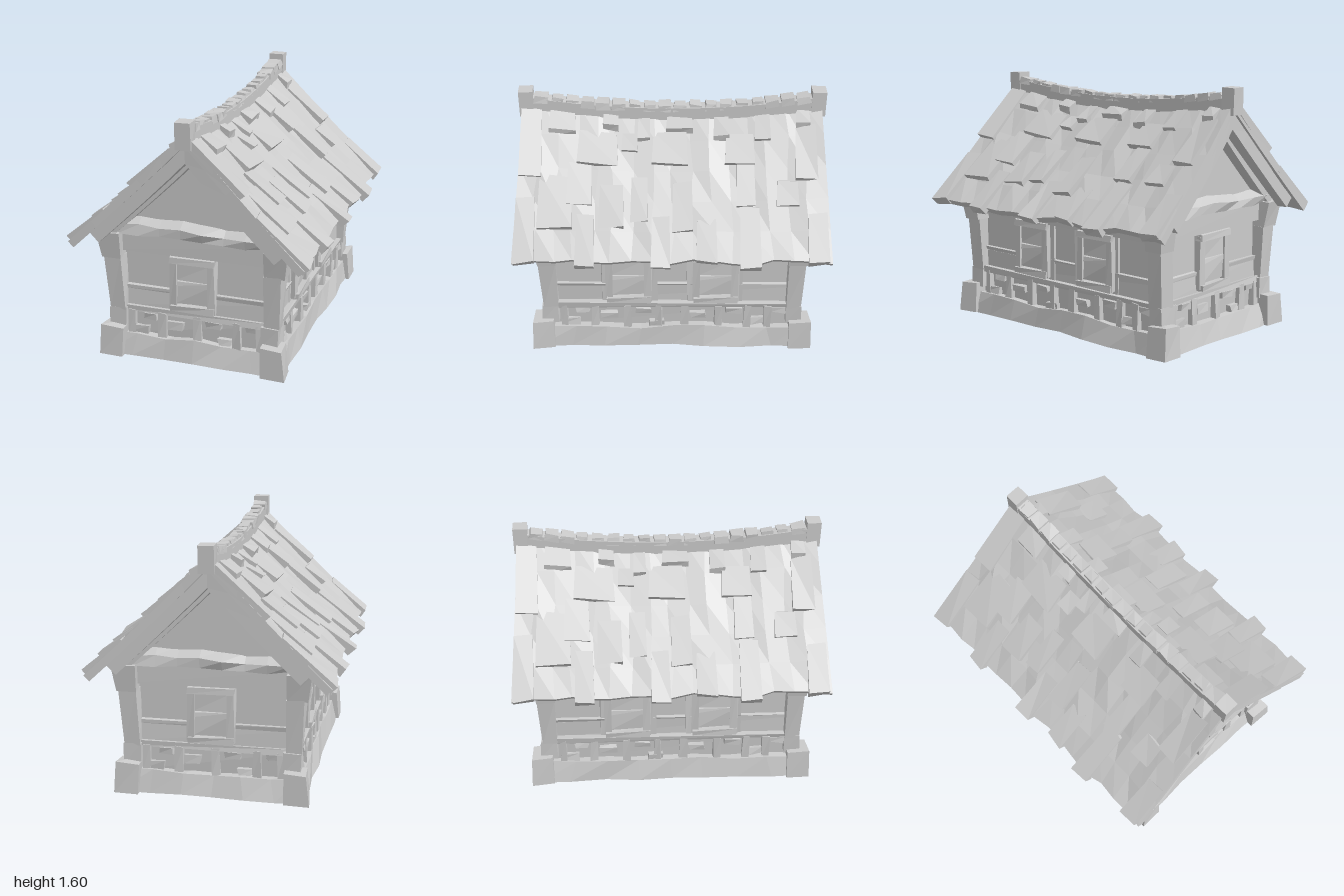
import * as THREE from 'three';

const grey = new THREE.MeshStandardMaterial({ color: 0xcccccc, flatShading: true, side: THREE.DoubleSide });

// Position-based noise in -1..1, so shared corners move together
const noise = (x, y, z) => {
  const s = Math.sin(x * 127.1 + y * 311.7 + z * 74.7 + 3.3) * 43758.5453;
  return (s - Math.floor(s)) * 2 - 1;
};

// Unit box (-0.5..0.5) whose vertices are moved by fn(a, b, c) -> [x, y, z]
function warped(parent, name, segs, fn) {
  const g = new THREE.BoxGeometry(1, 1, 1, ...segs);
  const p = g.attributes.position;
  for (let i = 0; i < p.count; i++) p.setXYZ(i, ...fn(p.getX(i), p.getY(i), p.getZ(i)));
  g.computeVertexNormals();
  const m = new THREE.Mesh(g, grey);
  m.name = name;
  parent.add(m);
  return m;
}

// Hand-hewn block: top scale, top shift and corner jitter
function block(parent, name, [cx, cy, cz], [w, h, d], { top = 1, dx = 0, dz = 0, j = 0.006, segs = [1, 1, 1] } = {}) {
  return warped(parent, name, segs, (a, b, c) => {
    const k = b > 0 ? top : 1, t = b > 0 ? 1 : 0;
    const x = cx + a * w * k + dx * t, y = cy + b * h, z = cz + c * d * k + dz * t;
    return [x + j * noise(x, y, z), Math.max(0, y + j * noise(y, z, x)), z + j * noise(z, x, y)];
  });
}

// Roof surface: u from ridge to eave, z along the ridge, d = depth below the surface
const ridgeY = z => 1.44 + 0.09 * z * z;
function roofPoint(u, z, d) {
  const k = Math.min(1, Math.max(0, u * 3));
  const y = ridgeY(z) - (ridgeY(z) - 0.785) * (1.06 * u - 0.06 * u * u);
  return [0.745 * u - 0.7 * d * k, y - d * (1.41 - 0.7 * k), z];
}

// Tile rising out of the roof towards its lower end
function shingle(parent, z0, z1, u0, u1, lift = 0.035) {
  warped(parent, 'shingle', [1, 1, 1], (a, b, c) => {
    const u = a > 0 ? u1 : u0;
    const z = (z0 + z1) / 2 + c * (z1 - z0) * (a > 0 ? 1 : 0.9);
    const h = a > 0 ? lift : 0.006;
    return roofPoint(u + 0.012 * noise(z, u, b), z, b > 0 ? -h - 0.006 * noise(u, z, 1) : 0.03);
  });
}

function windowUnit(parent, x) {
  const g = new THREE.Group();
  g.name = 'window';
  g.position.x = x;
  parent.add(g);
  for (const s of [-1, 1]) block(g, 'windowJamb', [s * 0.125, 0.51, 0.02], [0.045, 0.34, 0.05]);
  block(g, 'windowLintel', [0, 0.675, 0.03], [0.29, 0.04, 0.06]);
  block(g, 'windowSill', [0, 0.355, 0.03], [0.29, 0.04, 0.065]);
  block(g, 'windowCrossbar', [0, 0.515, 0.015], [0.23, 0.03, 0.04]);
  for (const y of [0.445, 0.59]) block(g, 'shutterPanel', [0, y, 0.015], [0.215, 0.12, 0.035]);
}

// Wall dressing in local space: x along the wall, z outward
function wall(half, len, depth, rot, { windows, studs, posts, stones, railTop }) {
  const pivot = new THREE.Group(), g = new THREE.Group();
  pivot.name = 'wall';
  pivot.rotation.y = rot;
  g.position.z = depth;
  pivot.add(g);
  half.add(pivot);
  windows.forEach(x => windowUnit(g, x));
  studs.forEach(x => block(g, 'stud', [x, 0.5, 0.005], [0.05, 0.4, 0.03]));
  block(g, 'topRail', [0, (0.69 + railTop) / 2, 0.012], [len, railTop - 0.69, 0.05]);
  block(g, 'sillRail', [0, 0.305, 0.015], [len, 0.035, 0.06]);
  block(g, 'wallBoard', [0, 0.37, 0], [len, 0.12, 0.02]);
  block(g, 'trim', [0, 0.445, 0.003], [len, 0.022, 0.03]);
  block(g, 'lowerWall', [0, 0.21, 0], [len, 0.18, 0.03]);
  posts.forEach(x => block(g, 'lowerPost', [x, 0.215, 0.025], [0.05, 0.17, 0.05], { top: 0.9 }));
  stones.forEach(([x, y, w]) => block(g, 'wallStone', [x, y, 0.02], [w, 0.045, 0.05], { j: 0.008 }));
}

// One half of the house; the other is the same turned by 180 degrees
function buildHalf() {
  const half = new THREE.Group();
  half.name = 'houseHalf';

  wall(half, 1.0, 0.77, 0, {
    windows: [-0.01], studs: [], railTop: 0.82, posts: [-0.42, -0.21, 0.02, 0.28, 0.43],
    stones: [[-0.29, 0.265, 0.09], [-0.125, 0.22, 0.11], [0.13, 0.26, 0.1], [0.39, 0.265, 0.1], [-0.37, 0.17, 0.13], [0.2, 0.16, 0.08]]
  });
  wall(half, 1.56, 0.495, Math.PI / 2, {
    windows: [-0.28, 0.28], studs: [-0.43, -0.12, 0.12, 0.43], railTop: 0.78,
    posts: [-0.7, -0.5, -0.29, -0.09, 0.08, 0.3, 0.49, 0.62],
    stones: [[-0.58, 0.265, 0.09], [-0.41, 0.22, 0.11], [-0.19, 0.26, 0.1], [-0.1, 0.16, 0.1], [0.17, 0.225, 0.1],
      [0.4, 0.26, 0.11], [0.69, 0.265, 0.09], [0.55, 0.18, 0.08], [-0.66, 0.17, 0.12]]
  });

  // Corners: foot stone, post and flared bracket
  for (const s of [-1, 1]) {
    block(half, 'cornerStone', [s * 0.53, 0.1, 0.835], [0.16, 0.2, 0.155], { top: 0.86, dx: -s * 0.006, dz: -0.006, j: 0.01 });
    block(half, 'cornerFoot', [s * 0.5, 0.245, 0.79], [0.11, 0.13, 0.11], { top: 0.95 });
    block(half, 'cornerPost', [s * 0.505, 0.475, 0.785], [0.1, 0.36, 0.1], { top: 1.12, dx: s * 0.014, dz: 0.012 });
    block(half, 'cornerBracket', [s * 0.525, 0.735, 0.795], [0.125, 0.17, 0.12], { top: 1.2, dx: s * 0.015, dz: 0.015 });
  }

  // Gable panel and the rough beam below it
  const tri = new THREE.Shape([[-0.58, 0.79], [0.58, 0.79], [0, 1.39]].map(p => new THREE.Vector2(...p)));
  const gable = new THREE.Mesh(new THREE.ExtrudeGeometry(tri, { depth: 0.05, bevelEnabled: false }), grey);
  gable.name = 'gablePanel';
  gable.position.z = 0.74;
  half.add(gable);
  warped(half, 'gableBeam', [7, 1, 1], (a, b, c) => {
    const x = a * 0.96, back = c < 0;
    const y = b > 0 ? (back ? 0.925 : 0.875) : 0.82;
    return [x, y + 0.016 * noise(x, b, 1), back ? 0.77 : 0.85 + 0.014 * noise(x, b, 2)];
  });

  // Roof slope
  warped(half, 'roofSlope', [5, 1, 16], (a, b, c) => {
    const u = a + 0.5, inner = u > 0.01 && Math.abs(c) < 0.49;
    const z = 2 * c * (0.945 + 0.045 * u) + (inner ? 0.02 * noise(u, c, 1) : 0);
    const rough = inner ? 0.012 * noise(u, c, 2) : 0;
    const edge = u > 0.99 ? 0.022 * noise(c, 4, 1) : 0;
    return roofPoint(u + edge, z, (b > 0 ? 0 : 0.05) + rough);
  });

  // Barge boards and inner rafters at both ends of this slope
  for (const s of [-1, 1]) {
    warped(half, 'bargeBoard', [4, 1, 1], (a, b, c) => {
      const u = (a + 0.5) * 0.87;
      return roofPoint(u, s * (0.895 + 0.035 * u) + c * 0.07, 0.085 - b * 0.085);
    });
    warped(half, 'innerRafter', [4, 1, 1], (a, b, c) =>
      roofPoint((a + 0.5) * 0.82, s * 0.815 + c * 0.09, 0.09 - b * 0.12));
  }

  // Shingles: z from, z to, u at top, u at bottom
  [
    [0.61, 0.78, 0.03, 0.19], [0.82, 0.96, 0.03, 0.47], [0.34, 0.6, 0.15, 0.37], [0.34, 0.44, 0.03, 0.14],
    [0.22, 0.32, 0.16, 0.27], [0.14, 0.22, 0.05, 0.2], [-0.13, 0.04, 0.03, 0.15], [-0.1, 0.13, 0.15, 0.36],
    [-0.36, -0.26, 0.04, 0.2], [-0.62, -0.52, 0.05, 0.22], [-0.87, -0.78, 0.04, 0.15], [-0.91, -0.77, 0.15, 0.48],
    [-0.52, -0.33, 0.17, 0.37], [0.5, 0.66, 0.37, 0.63], [0.62, 0.84, 0.45, 0.79], [0.15, 0.26, 0.45, 0.74],
    [-0.13, 0, 0.47, 0.8], [-0.52, -0.4, 0.35, 0.63], [-0.79, -0.65, 0.48, 0.64], [0.3, 0.46, 0.5, 0.78],
    [0.85, 0.98, 0.6, 1.01], [0.48, 0.6, 0.7, 1.03], [0.01, 0.13, 0.7, 1.03], [-0.28, -0.15, 0.72, 1.0],
    [-0.55, -0.42, 0.64, 1.04], [-0.97, -0.84, 0.7, 1.01]
  ].forEach(t => shingle(half, ...t));

  // Ridge end cap
  block(half, 'ridgeEnd', [0, 1.51, 0.925], [0.1, 0.17, 0.09], { j: 0.004 });
  return half;
}

export function createModel() {
  const house = new THREE.Group();
  house.name = 'house';

  // Foundation and inner core
  block(house, 'foundation', [0, 0.07, 0], [1.16, 0.14, 1.74], { top: 0.95, j: 0.012, segs: [6, 1, 8] });
  block(house, 'wallCore', [0, 0.46, 0], [0.99, 0.72, 1.53], { j: 0 });

  const front = buildHalf(), back = buildHalf();
  back.rotation.y = Math.PI;
  house.add(front, back);

  // Ridge beam and its uneven cap stones
  warped(house, 'ridgeBeam', [1, 1, 12], (a, b, c) => [a * 0.085, ridgeY(c * 1.86) + b * 0.1 - 0.01, c * 1.86]);
  const n = 18, step = 1.76 / n;
  for (let i = 0; i < n; i++) {
    const z = -0.88 + (i + 0.5) * step, r = noise(i, 2, 5);
    const cap = block(house, 'ridgeCap', [0, 0, 0], [0.085 + 0.015 * r, 0.09, step * (0.85 + 0.12 * r)], { top: 0.88, j: 0.006 });
    cap.position.set(0, ridgeY(z) + 0.015, z);
    cap.rotation.x = -0.18 * z + 0.08 * r;
  }
  return house;
}
